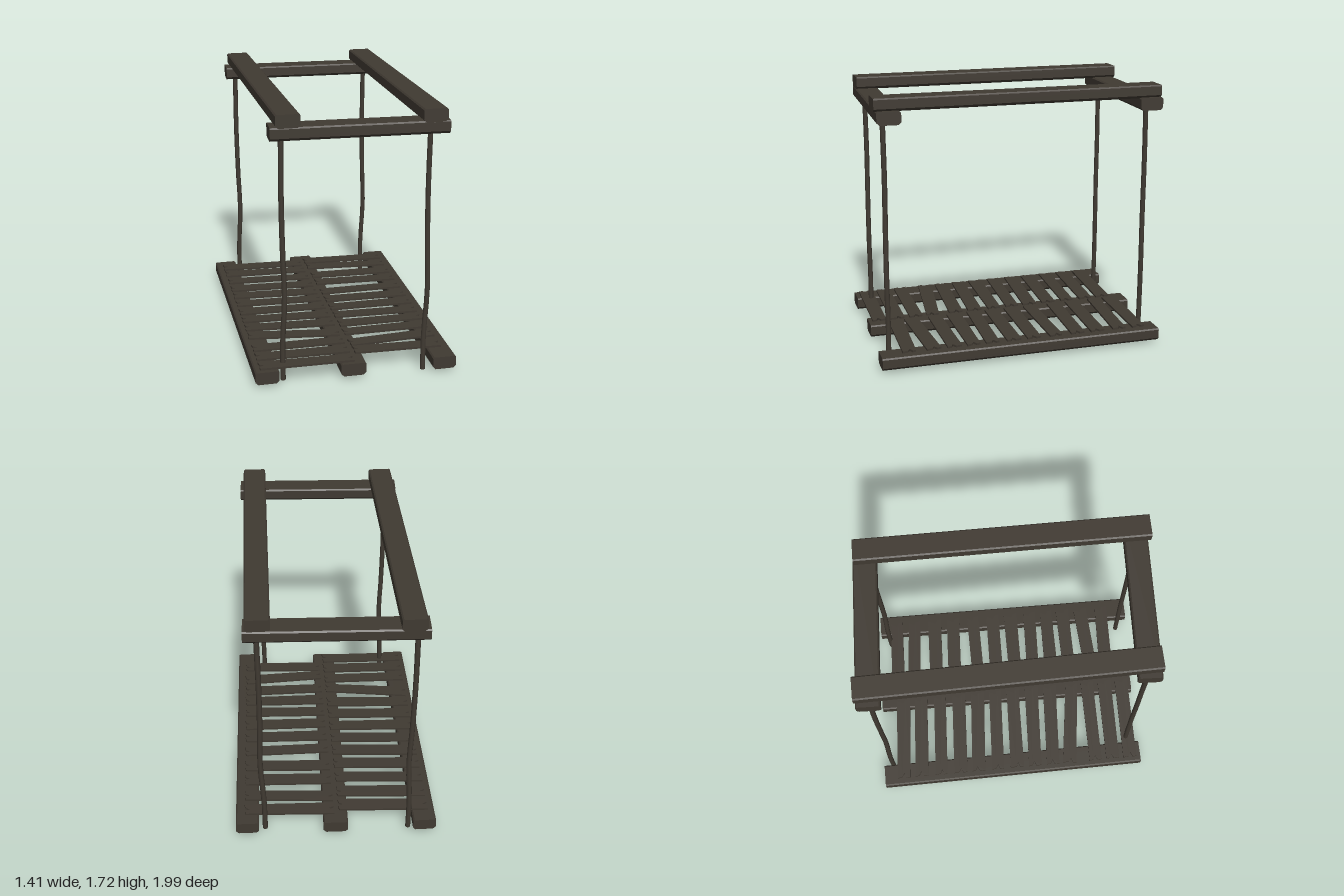
import * as THREE from 'three';

const wood = new THREE.MeshStandardMaterial({ color: 0x403a32 });
wood.name = 'dark weathered wood';

// Chamfered timber running between two [x, z] end centres, resting at height y
function beam(name, a, b, y, width = 0.15, height = 0.082) {
  const w = width / 2, h = height / 2, c = 0.017;
  const section = new THREE.Shape([
    [-w + c, -h], [w - c, -h], [w, -h + c], [w, h - c * 0.5],
    [w - c * 0.5, h], [-w + c * 0.5, h], [-w, h - c * 0.5], [-w, -h + c],
  ].map(([px, py]) => new THREE.Vector2(px, py)));
  const dx = b[0] - a[0], dz = b[1] - a[1];
  const geo = new THREE.ExtrudeGeometry(section, { depth: Math.hypot(dx, dz), bevelEnabled: false });
  const mesh = new THREE.Mesh(geo, wood);
  mesh.name = name;
  mesh.position.set(a[0], y + h, a[1]);
  mesh.rotation.y = Math.atan2(dx, dz);
  return mesh;
}

// Slightly crooked pole following [x, y, z] points
function post(name, points) {
  const curve = new THREE.CatmullRomCurve3(points.map(p => new THREE.Vector3(...p)));
  const group = new THREE.Group();
  group.name = name;
  group.add(new THREE.Mesh(new THREE.TubeGeometry(curve, 14, 0.017, 8), wood));
  // end cap on the ground
  const cap = new THREE.Mesh(new THREE.CircleGeometry(0.017, 8), wood);
  cap.rotation.x = Math.PI / 2;
  cap.position.set(points[0][0], 0.001, points[0][2]);
  group.add(cap);
  return group;
}

// Thin board with split, notched ends between two [x, z] end centres
function plank(name, a, b, i) {
  const dx = b[0] - a[0], dz = b[1] - a[1], L = Math.hypot(dx, dz);
  const w0 = 0.046 + 0.003 * Math.sin(i * 2.3), w1 = 0.046 + 0.003 * Math.cos(i * 1.7);
  const n = 0.008 * Math.sin(i * 1.9);
  const outline = new THREE.Shape([
    [0.006, -w0], [L, -w1], [L - 0.008, n - 0.013], [L - 0.035, n], [L - 0.004, n + 0.016],
    [L - 0.012, w1], [0, w0], [0.008, n + 0.013], [0.035, n], [0.003, n - 0.016],
  ].map(([px, py]) => new THREE.Vector2(px, py)));
  const geo = new THREE.ExtrudeGeometry(outline, { depth: 0.013, bevelEnabled: false });
  geo.rotateX(-Math.PI / 2);
  const mesh = new THREE.Mesh(geo, wood);
  mesh.name = name;
  mesh.position.set(a[0], 0.106, a[1]);
  mesh.rotation.y = -Math.atan2(dz, dx);
  return mesh;
}

export function createModel() {
  const model = new THREE.Group();
  model.name = 'woodenFrame';

  // Floor bearers
  model.add(
    beam('rightFloorBeam', [-0.525, -0.975], [-0.635, 0.88], 0.023),
    beam('middleFloorBeam', [0.055, -0.925], [-0.09, 0.92], 0.023, 0.16),
    beam('leftFloorBeam', [0.63, -0.865], [0.49, 0.99], 0.023),
  );

  // Top frame: cross beams with long rails laid over them
  model.add(
    beam('backCrossBeam', [-0.49, -0.915], [0.592, -0.81], 1.56),
    beam('frontCrossBeam', [-0.583, 0.785], [0.49, 0.895], 1.56),
    beam('rightTopRail', [-0.385, -0.99], [-0.485, 0.87], 1.638),
    beam('leftTopRail', [0.51, -0.885], [0.385, 0.975], 1.638),
  );

  // Corner posts
  const corners = [
    ['frontRightPost', -0.51, 0.80], ['backRightPost', -0.42, -0.91],
    ['frontLeftPost', 0.38, 0.908], ['backLeftPost', 0.517, -0.805],
  ];
  for (const [name, x, z] of corners) {
    model.add(post(name, [
      [x - 0.007, 0, z], [x - 0.006, 0.25, z - 0.003], [x + 0.008, 0.55, z + 0.003],
      [x, 0.85, z], [x - 0.004, 1.2, z - 0.004], [x - 0.002, 1.6, z],
    ]));
  }

  // Floor planks: z of the outer and inner end of each board
  const rightRows = [
    [-0.84, -0.77], [-0.71, -0.64], [-0.57, -0.5], [-0.43, -0.36], [-0.3, -0.22], [-0.16, -0.09],
    [-0.02, 0.04], [0.11, 0.18], [0.24, 0.315], [0.36, 0.48], [0.55, 0.595], [0.675, 0.725], [0.8, 0.85],
  ];
  const leftRows = [
    [-0.74, -0.8], [-0.605, -0.685], [-0.455, -0.515], [-0.315, -0.38], [-0.165, -0.2], [-0.015, -0.065],
    [0.12, 0.075], [0.265, 0.205], [0.39, 0.345], [0.515, 0.48], [0.65, 0.645], [0.81, 0.75],
  ];
  const floor = new THREE.Group();
  floor.name = 'floorPlanks';
  rightRows.forEach(([zo, zi], i) => floor.add(
    plank('rightPlank', [-0.622 - 0.065 * zo, zo], [-0.022 - 0.06 * zi, zi], i)));
  leftRows.forEach(([zo, zi], i) => floor.add(
    plank('leftPlank', [0.003 - 0.06 * zi, zi], [0.585 - 0.075 * zo, zo], i + 20)));
  model.add(floor);

  return model;
}
